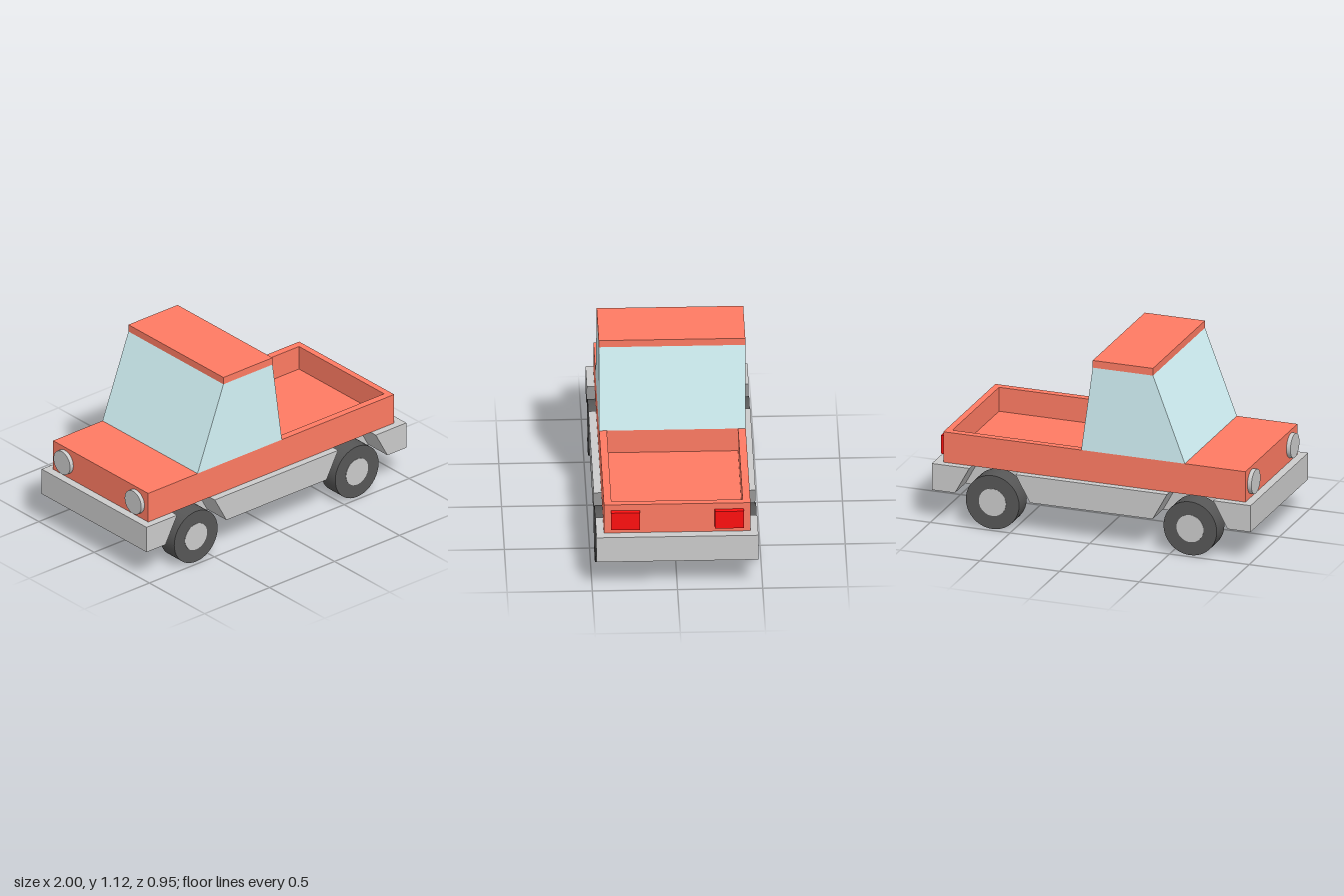
import * as THREE from 'three';

const material = (color, flatShading = false) => new THREE.MeshStandardMaterial({ color, flatShading });
const grey = material(0xcccccc);
const red = material(0xff7b63);
const glass = material(0xd4f4f8);
const rubber = material(0x575757);
const lampRed = material(0xff1010);

const polygon = (points) => new THREE.Shape(points.map(([x, y]) => new THREE.Vector2(x, y)));
const extrude = (shape, depth) => new THREE.ExtrudeGeometry(shape, { depth, bevelEnabled: false });

export function createModel() {
  const model = new THREE.Group();

  function add(parent, name, geometry, mat, x = 0, y = 0, z = 0) {
    const mesh = new THREE.Mesh(geometry, mat);
    mesh.name = name;
    mesh.position.set(x, y, z);
    parent.add(mesh);
    return mesh;
  }

  // Box given by its minimum and maximum corners
  function addBox(parent, name, mat, [x0, y0, z0], [x1, y1, z1]) {
    return add(parent, name, new THREE.BoxGeometry(x1 - x0, y1 - y0, z1 - z0), mat,
      (x0 + x1) / 2, (y0 + y1) / 2, (z0 + z1) / 2);
  }

  // Chassis: a central slab with side strips that leave trapezoid wheel arches
  const chassis = new THREE.Group();
  chassis.name = 'chassis';
  model.add(chassis);
  const low = 0.195, high = 0.36, halfWidth = 0.475, archZ = 0.3;
  addBox(chassis, 'chassisCore', grey, [-1, low, -archZ], [1, high, archZ]);
  const strips = [
    [[-1, low], [-0.855, low], [-0.765, high], [-1, high]],
    [[-0.385, low], [0.385, low], [0.475, high], [-0.475, high]],
    [[0.855, low], [1, low], [1, high], [0.765, high]],
  ];
  for (const z of [-halfWidth, archZ]) {
    for (const strip of strips) {
      add(chassis, 'chassisSide', extrude(polygon(strip), halfWidth - archZ), grey, 0, 0, z);
    }
  }

  // Body: floor plate under a thick outline with the cargo bed cut out
  const bodyZ = 0.43, bedFloor = 0.4, bodyTop = 0.55;
  const body = new THREE.Group();
  body.name = 'body';
  model.add(body);
  addBox(body, 'bodyFloor', red, [-0.95, high, -bodyZ], [0.945, bedFloor, bodyZ]);
  const outline = polygon([[-0.95, -bodyZ], [0.945, -bodyZ], [0.945, bodyZ], [-0.95, bodyZ]]);
  outline.holes.push(polygon([[0.08, -0.385], [0.08, 0.385], [0.905, 0.385], [0.905, -0.385]]));
  const walls = extrude(outline, bodyTop - bedFloor).rotateX(-Math.PI / 2);
  add(body, 'hoodAndBedWalls', walls, red, 0, bedFloor, 0);

  // Cab: sloped glass block and a flat roof
  const cab = polygon([[-0.57, bodyTop], [0.08, bodyTop], [0.008, 1.075], [-0.37, 1.075]]);
  add(model, 'cabWindows', extrude(cab, bodyZ * 2), glass, 0, 0, -bodyZ);
  addBox(model, 'roof', red, [-0.37, 1.075, -bodyZ], [0.008, 1.12, bodyZ]);

  // Lights
  for (const side of [-1, 1]) {
    const lamp = new THREE.CylinderGeometry(0.075, 0.075, 0.025, 32).rotateZ(Math.PI / 2);
    add(model, 'headlight', lamp, grey, -0.9625, 0.455, side * 0.322);
    add(model, 'tailLight', new THREE.BoxGeometry(0.03, 0.115, 0.17), lampRed, 0.96, 0.453, side * 0.305);
  }

  // Wheels: tyre with a hub showing on both faces
  const tyre = new THREE.CylinderGeometry(0.167, 0.167, 0.127, 40).rotateX(Math.PI / 2);
  const hub = new THREE.CylinderGeometry(0.085, 0.085, 0.131, 32).rotateX(Math.PI / 2);
  for (const x of [-0.62, 0.62]) {
    for (const side of [-1, 1]) {
      const wheel = new THREE.Group();
      wheel.name = x < 0 ? 'frontWheel' : 'rearWheel';
      wheel.position.set(x, 0.167, side * 0.411);
      add(wheel, 'tyre', tyre, rubber);
      add(wheel, 'hub', hub, grey);
      model.add(wheel);
    }
  }

  return model;
}
